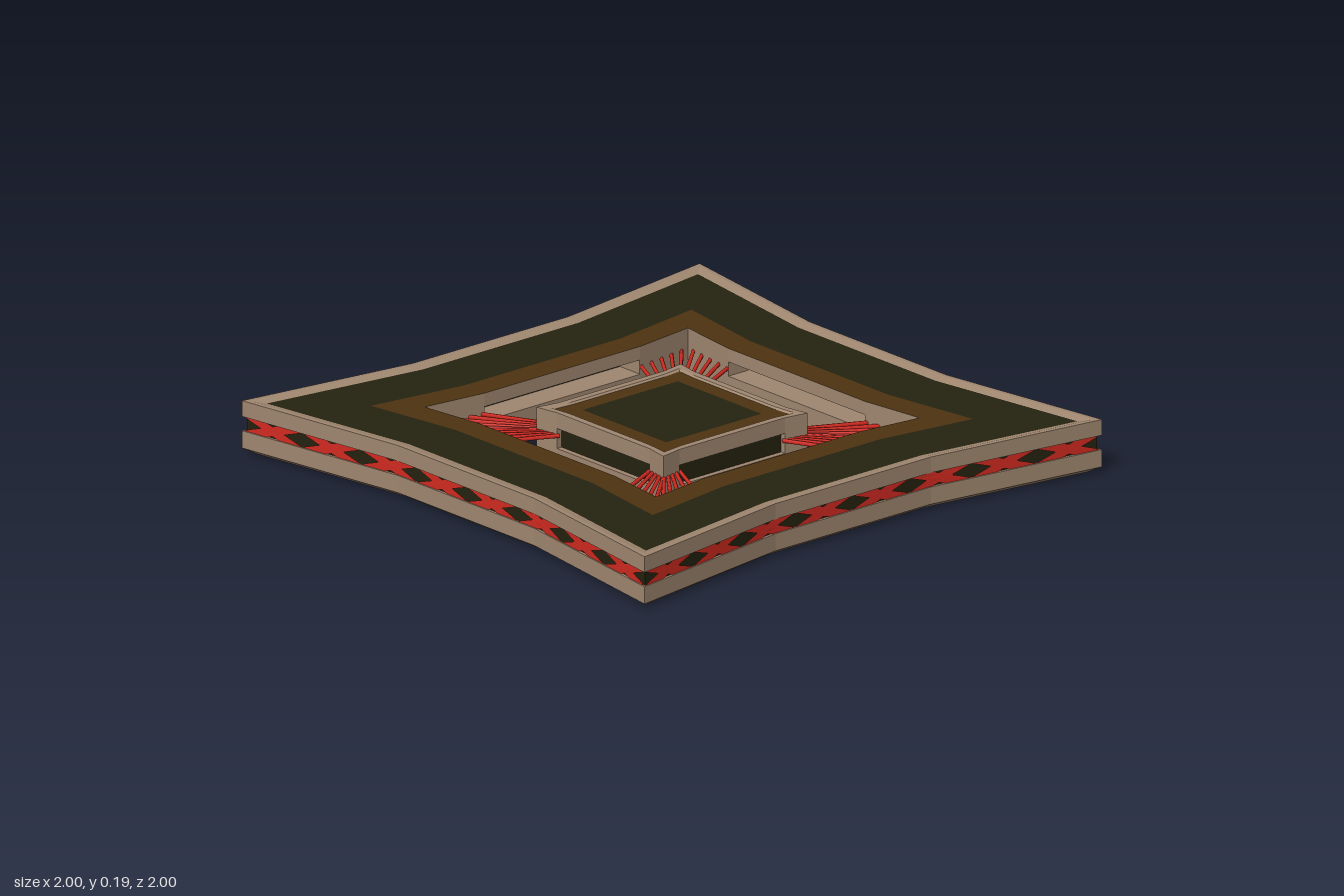
import * as THREE from 'three';

const material = (name, color, side = THREE.FrontSide) =>
  Object.assign(new THREE.MeshStandardMaterial({ color, side }), { name });

// Pinched square: corners at (c, c), side middles at distance m, kinks at +-k
function outline(c, m, k) {
  const points = [];
  for (let side = 0; side < 4; side++) {
    for (let [x, z] of [[-c, c], [-k, m], [k, m]]) {
      for (let i = 0; i < side; i++) [x, z] = [z, -x];
      points.push([x, z]);
    }
  }
  return points;
}

// Skin a list of [c, m, k, y] rings; parts picks segments of each side (0, 1, 2)
function loft(name, mat, rings, parts = [0, 1, 2]) {
  const pos = [];
  for (let j = 0; j < rings.length - 1; j++) {
    const up = outline(...rings[j]), low = outline(...rings[j + 1]);
    const yu = rings[j][3], yl = rings[j + 1][3];
    for (let i = 0; i < 12; i++) {
      if (!parts.includes(i % 3)) continue;
      const n = (i + 1) % 12;
      const v = (p, y) => [p[0], y, p[1]];
      const la = v(low[i], yl), lb = v(low[n], yl), ua = v(up[i], yu), ub = v(up[n], yu);
      pos.push(...la, ...lb, ...ub, ...la, ...ub, ...ua);
    }
  }
  const geo = new THREE.BufferGeometry();
  geo.setAttribute('position', new THREE.Float32BufferAttribute(pos, 3));
  geo.computeVertexNormals();
  const mesh = new THREE.Mesh(geo, mat);
  mesh.name = name;
  return mesh;
}

// One slanted lattice strip following the pinched wall
function latticeStrip(center, dir, mat) {
  const rows = 6, pos = [], index = [];
  const wall = u => 0.895 + 0.099 * Math.max(0, (Math.abs(u) - 0.34) / 0.65);
  for (let r = 0; r <= rows; r++) {
    const t = r / rows;
    for (let s = 0; s < 3; s++) {
      const offset = -0.126 + 0.15 * t + 0.051 * s;
      const u = THREE.MathUtils.clamp(center + dir * offset, -0.992, 0.992);
      pos.push(u, 0.08 + 0.05 * t, wall(u));
      if (r < rows && s < 2) {
        const a = r * 3 + s;
        if (dir > 0) index.push(a, a + 1, a + 4, a, a + 4, a + 3);
        else index.push(a, a + 4, a + 1, a, a + 3, a + 4);
      }
    }
  }
  const geo = new THREE.BufferGeometry();
  geo.setAttribute('position', new THREE.Float32BufferAttribute(pos, 3));
  geo.setIndex(index);
  geo.computeVertexNormals();
  const mesh = new THREE.Mesh(geo, mat);
  mesh.name = 'latticeStrip';
  return mesh;
}

function rod(from, to, mat) {
  const a = new THREE.Vector3(...from), b = new THREE.Vector3(...to);
  const mesh = new THREE.Mesh(new THREE.CylinderGeometry(0.007, 0.007, a.distanceTo(b), 6), mat);
  mesh.position.copy(a).add(b).multiplyScalar(0.5);
  mesh.quaternion.setFromUnitVectors(new THREE.Vector3(0, 1, 0), b.sub(a).normalize());
  mesh.name = 'rod';
  return mesh;
}

export function createModel() {
  const tan = material('tan', 0xa08770);
  const dark = material('darkOlive', 0x24220f);
  const brown = material('brown', 0x4e3311);
  const red = material('red', 0xd22a20, THREE.DoubleSide);
  const model = new THREE.Group();
  model.name = 'platform';

  // Outer ring: top surfaces, raised lip, recessed band and underside
  const K = 0.34, ring = new THREE.Group();
  ring.name = 'outerRing';
  ring.add(
    loft('innerBorder', brown, [[0.575, 0.545, K, 0.177], [0.7, 0.645, K, 0.177]]),
    loft('topField', dark, [[0.7, 0.645, K, 0.177], [0.942, 0.85, K, 0.177]]),
    loft('upperRim', tan, [[0.942, 0.85, K, 0.177], [0.98, 0.885, K, 0.185], [1, 0.9, K, 0.185],
      [1, 0.9, K, 0.13], [0.988, 0.89, K, 0.13]]),
    loft('bandBack', dark, [[0.988, 0.89, K, 0.13], [0.988, 0.89, K, 0.08]]),
    loft('lowerRim', tan, [[0.988, 0.89, K, 0.08], [1, 0.9, K, 0.08], [1, 0.9, K, 0.02],
      [0.965, 0.868, K, 0], [0.575, 0.545, K, 0], [0.575, 0.545, K, 0.08]]),
    loft('innerWallTop', tan, [[0.575, 0.545, K, 0.13], [0.575, 0.545, K, 0.177]]),
    loft('innerWallCorners', tan, [[0.575, 0.545, K, 0.08], [0.575, 0.545, K, 0.13]], [0, 2]),
    loft('slotFloor', tan, [[0.575, 0.545, K, 0.08], [0.67, 0.645, K, 0.08]], [1]),
    loft('slotBack', dark, [[0.67, 0.645, K, 0.08], [0.67, 0.645, K, 0.13],
      [0.575, 0.545, K, 0.13]], [1]),
  );
  model.add(ring);

  // Central block with a recessed panel on each side
  const B = 0.23, block = new THREE.Group();
  block.name = 'centralBlock';
  block.add(
    loft('blockCenter', dark, [[0, 0, 0, 0.179], [0.208, 0.208, 0.15, 0.179]]),
    loft('blockBorder', brown, [[0.208, 0.208, 0.15, 0.179], [0.275, 0.268, 0.2, 0.179]]),
    loft('blockTopRim', tan, [[0.275, 0.268, 0.2, 0.179], [0.285, 0.275, 0.2, 0.185],
      [0.315, 0.3, B, 0.185], [0.315, 0.3, B, 0.13]]),
    loft('blockPosts', tan, [[0.315, 0.3, B, 0.13], [0.315, 0.3, B, 0.06]], [0, 2]),
    loft('blockPanels', dark, [[0.315, 0.3, B, 0.13], [0.3, 0.28, B, 0.13],
      [0.3, 0.28, B, 0.06]], [1]),
    loft('blockLedge', tan, [[0.3, 0.28, B, 0.06], [0.315, 0.3, B, 0.06]], [1]),
    loft('blockBase', tan, [[0.315, 0.3, B, 0.06], [0.315, 0.3, B, 0.02],
      [0.3, 0.285, B, 0.01], [0, 0, 0, 0.01]]),
  );
  model.add(block);

  // Per side: lattice, recess cheeks and a fan of rods at each end
  for (let s = 0; s < 4; s++) {
    const side = new THREE.Group();
    side.name = 'sideDetails';
    side.rotation.y = s * Math.PI / 2;
    for (let i = 0; i < 8; i++) {
      for (const dir of [-1, 1]) side.add(latticeStrip(-0.875 + i * 0.25, dir, red));
    }
    for (const m of [-1, 1]) {
      const cheek = new THREE.Mesh(new THREE.BoxGeometry(0.008, 0.05, 0.1), tan);
      cheek.position.set(m * (K + 0.004), 0.105, 0.597);
      cheek.name = 'slotCheek';
      const post = new THREE.Mesh(new THREE.BoxGeometry(0.006, 0.07, 0.02), tan);
      post.position.set(m * (B + 0.003), 0.095, 0.29);
      post.name = 'postCheek';
      side.add(cheek, post);
      for (let i = 0; i < 5; i++) {
        const t = i / 4;
        side.add(rod([m * (0.225 + 0.07 * t), 0.105, 0.295],
          [m * (0.35 + 0.2 * t), 0.105, 0.553 + 0.025 * t], red));
      }
    }
    model.add(side);
  }
  return model;
}
